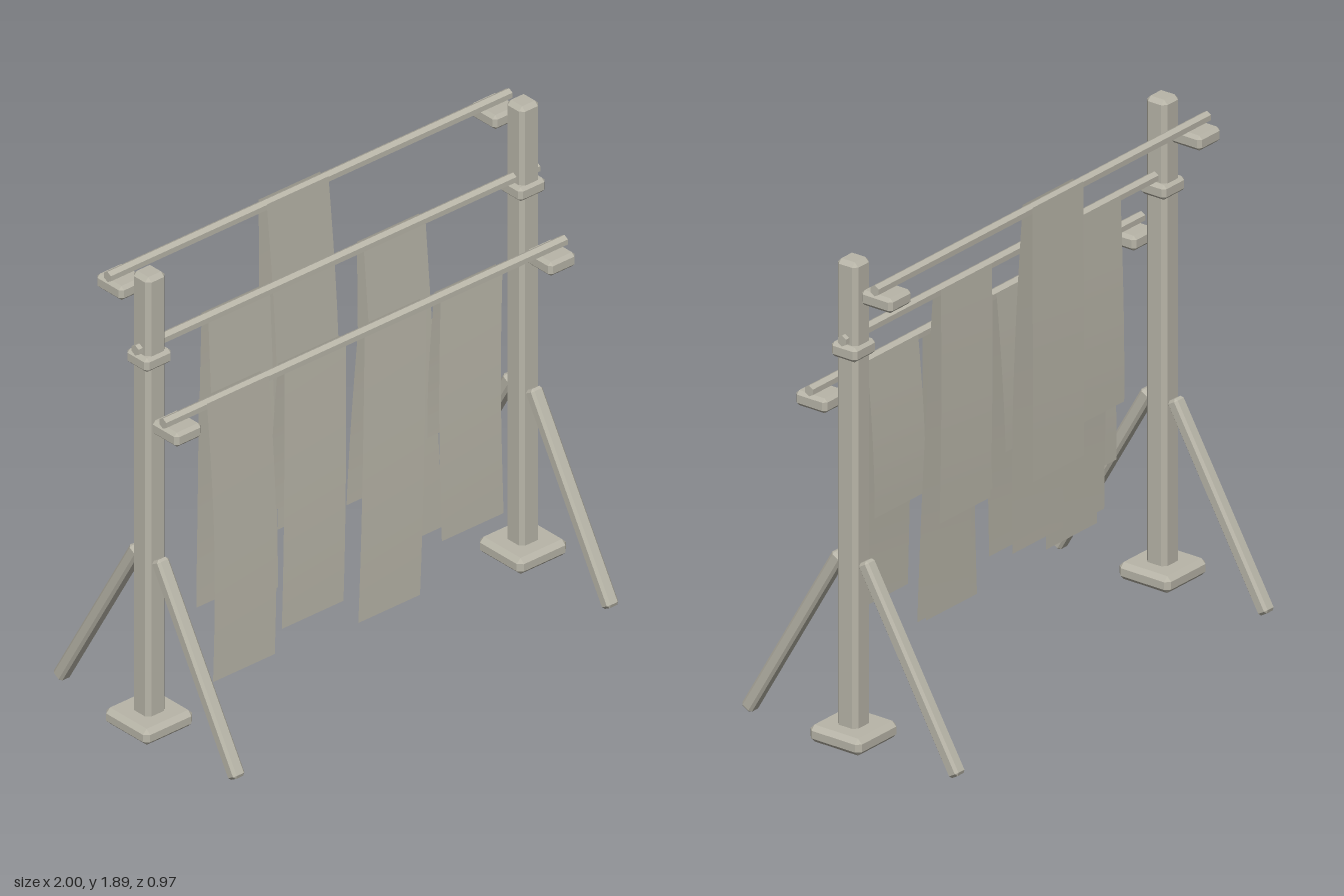
import * as THREE from 'three';
import { ConvexGeometry } from 'three/addons/geometries/ConvexGeometry.js';

const stone = new THREE.MeshStandardMaterial({ color: 0xb8b5a8, side: THREE.DoubleSide });
stone.name = 'warmGrey';

// Box with every edge cut at 45 degrees
function chamferBox(w, h, d, c) {
  const pts = [];
  for (const sx of [-1, 1]) for (const sy of [-1, 1]) for (const sz of [-1, 1]) {
    for (let flat = 0; flat < 3; flat++) {
      const half = [w / 2, h / 2, d / 2].map((v, i) => (i === flat ? v : v - c));
      pts.push(new THREE.Vector3(sx * half[0], sy * half[1], sz * half[2]));
    }
  }
  return new ConvexGeometry(pts);
}

// Hanging sheet, ruled along x; its centre line drifts sideways and in depth
function sheet(width, length, drift, sway, zTop, zEnd) {
  const geo = new THREE.PlaneGeometry(width, length, 1, 10);
  geo.translate(0, -length / 2, 0);
  const p = geo.attributes.position;
  for (let i = 0; i < p.count; i++) {
    const t = -p.getY(i) / length;
    p.setX(i, p.getX(i) + drift * t + sway * Math.sin(Math.PI * t));
    p.setZ(i, zTop + (zEnd - zTop) * Math.sin(t * Math.PI / 2));
  }
  geo.computeVertexNormals();
  return geo;
}

export function createModel() {
  const model = new THREE.Group();
  model.name = 'dryingRack';
  const add = (name, geo, x, y, z) => {
    const mesh = new THREE.Mesh(geo, stone);
    mesh.name = name;
    mesh.position.set(x, y, z);
    model.add(mesh);
    return mesh;
  };

  const rails = [
    { name: 'back', y: 1.825, z: -0.148, depth: 0.14 },
    { name: 'middle', y: 1.588, z: 0, depth: 0.115 },
    { name: 'front', y: 1.352, z: 0.148, depth: 0.14 },
  ];

  // Uprights with feet, struts and rail brackets
  for (const side of [1, -1]) {
    const label = side > 0 ? 'left' : 'right';
    const x = side * 0.884;
    add(label + 'Post', chamferBox(0.092, 1.88, 0.092, 0.016), x, 0.95, 0);
    add(label + 'Foot', chamferBox(0.232, 0.066, 0.232, 0.018), x, 0.047, 0);
    for (const dir of [1, -1]) {
      const strut = add(label + (dir > 0 ? 'FrontStrut' : 'BackStrut'),
        chamferBox(0.054, 0.83, 0.05, 0.01), x, 0.366, dir * 0.263);
      strut.rotation.x = -dir * Math.atan2(0.405, 0.7);
    }
    for (const r of rails) {
      add(label + r.name + 'Bracket', chamferBox(0.126, 0.058, r.depth, 0.013), x, r.y - 0.047, r.z);
    }
  }

  // Six-sided rails
  for (const r of rails) {
    const geo = new THREE.CylinderGeometry(0.021, 0.021, 1.9, 6).toNonIndexed();
    geo.rotateY(Math.PI / 6);
    geo.rotateZ(Math.PI / 2);
    geo.computeVertexNormals();
    add(r.name + 'Rail', geo, 0, r.y, r.z);
  }

  // Cloths: rail, centre x, front bottom y, back bottom y, drift, sway, top gap
  const cloths = [
    [0, -0.07, 0.49, 0.79, 0.035, 0.018, 0.022],
    [1, -0.47, 0.37, 0.81, 0.015, 0, 0.013],
    [1, 0.265, 0.31, 0.71, 0.057, 0, 0.013],
    [2, -0.615, 0.22, 0.49, 0.013, 0.017, 0.022],
    [2, -0.24, 0.31, 0.745, -0.037, 0, 0.012],
    [2, 0.14, 0.19, 0.63, -0.055, 0, 0.012],
    [2, 0.5, 0.37, 0.755, -0.02, -0.015, 0.012],
  ];
  cloths.forEach(([rail, x, frontEnd, backEnd, drift, sway, gap], i) => {
    const r = rails[rail];
    const top = r.y + (gap > 0.02 ? 0.016 : 0.012);
    const front = top - frontEnd, back = top - backEnd;
    add('clothFront' + (i + 1), sheet(0.292, front, drift, sway, gap, 0.04), x, top, r.z);
    add('clothBack' + (i + 1), sheet(0.292, back, drift * back / front, sway * 0.3, -0.022, -0.046), x, top, r.z);
  });
  return model;
}
